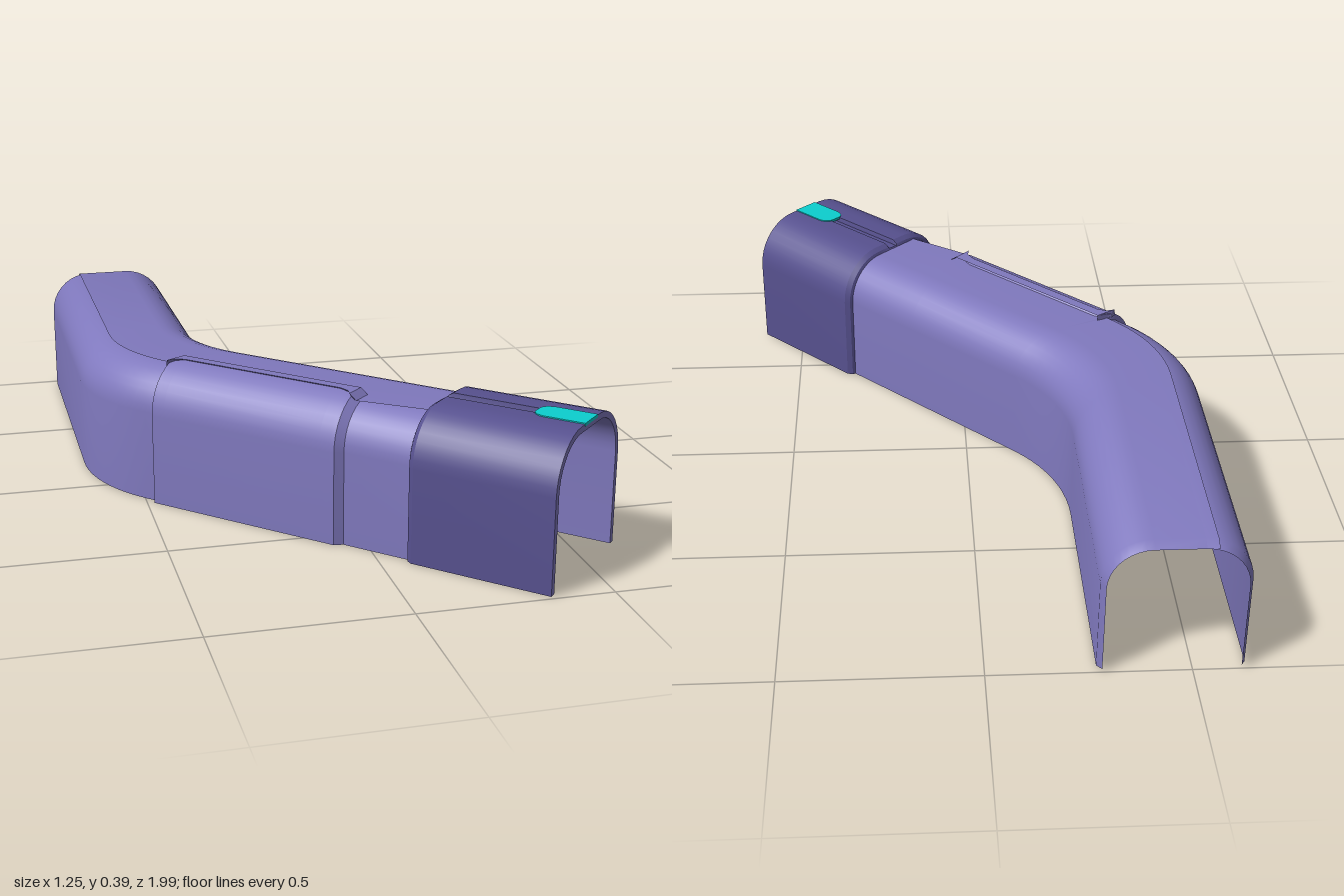
import * as THREE from 'three';
import { toCreasedNormals } from 'three/addons/utils/BufferGeometryUtils.js';

const CORNER = { x: -0.45, z: -0.08 }; // centre-line corner of the bend
const T = 0.19, R = T / Math.tan(Math.PI / 8), H = Math.SQRT1_2;
const RING_START = 0.92, RING_END = 1.315;

// Places a cross-section point on the back leg, the bend or the front leg
const backLeg = z => (u, y) => new THREE.Vector3(CORNER.x + u, y, z);
const bend = a => (u, y) => new THREE.Vector3(
  CORNER.x + u + R - R * Math.cos(a), y,
  CORNER.z - u * Math.tan(Math.PI / 8) - T + R * Math.sin(a));
const frontLeg = s => (u, y) => {
  const t = Math.max(s, T + u * Math.tan(Math.PI / 8));
  return new THREE.Vector3(CORNER.x + H * (t + u), y, CORNER.z + H * (t - u));
};

// Half of the rounded arch, from the floor to the top; o pushes it outward
function halfArch(side, o, floor = 0) {
  const w = 0.18 + o, h = 0.37 + o, r = 0.12 + o, pts = [[side * w, floor]];
  for (let i = 0; i <= 9; i++) {
    const a = (i / 9) * Math.PI / 2;
    pts.push([side * (w - r + r * Math.cos(a)), h - r + r * Math.sin(a)]);
  }
  return pts;
}
const arch = (left, right, middle = [], floor = 0) =>
  [...halfArch(-1, left, floor), ...middle, ...halfArch(1, right, floor).reverse()];

// Skins a list of equal-length rows of points
function loft(rows) {
  const n = rows[0].length, index = [];
  for (let i = 0; i < rows.length - 1; i++)
    for (let j = 0; j < n - 1; j++) {
      const a = i * n + j, b = a + n;
      index.push(a, b, a + 1, b, b + 1, a + 1);
    }
  const g = new THREE.BufferGeometry().setFromPoints(rows.flat());
  g.setIndex(index);
  return toCreasedNormals(g, 0.5);
}
const row = (place, pts) => pts.map(([u, y]) => place(u, y));

export function createModel() {
  const group = new THREE.Group();
  const violet = new THREE.MeshStandardMaterial({ color: 0x8079be, side: THREE.DoubleSide });
  violet.name = 'violet';
  const indigo = new THREE.MeshStandardMaterial({ color: 0x57518f, side: THREE.DoubleSide });
  indigo.name = 'dark indigo';
  const cyan = new THREE.MeshStandardMaterial({ color: 0x0ccfcf });
  cyan.name = 'cyan';
  const add = (name, geometry, material) => {
    const mesh = new THREE.Mesh(geometry, material);
    mesh.name = name;
    group.add(mesh);
    return mesh;
  };

  // Bent shell; o raises the side panel, top is the panel's upper edge
  const shellRow = (place, o = 0, top = -0.09, all = 0, floor = 0) =>
    row(place, arch(o + all, all, [[top, 0.37 + o + all], [top + 0.015, 0.37 + all]], floor));
  const rows = [
    shellRow(backLeg(-1), 0, -0.09, -0.012, 0.01),
    shellRow(backLeg(-0.975)),
  ];
  for (let i = 0; i <= 10; i++) rows.push(shellRow(bend((i / 10) * Math.PI / 4)));
  const panel = [
    [0.148, 0, -0.12], [0.152, 0.016, -0.12], [0.165, 0.016, -0.1], [0.19, 0.016, -0.09],
    [0.67, 0.016, -0.09], [0.7, 0.016, -0.1], [0.715, 0.016, -0.12], [0.735, 0, -0.12],
  ];
  for (const [s, o, top] of panel) rows.push(shellRow(frontLeg(s), o, top));
  rows.push(shellRow(frontLeg(RING_START)), shellRow(frontLeg(RING_END)));
  add('corridorShell', loft(rows), violet);

  // Collar round the front end, with a narrow groove along its top
  const collarRow = (s, o) => row(frontLeg(s), arch(o, o, [
    [-0.017, 0.37 + o], [-0.015, 0.37 + Math.min(o, 0.003)],
    [0.015, 0.37 + Math.min(o, 0.003)], [0.017, 0.37 + o],
  ]));
  add('collar', loft([
    collarRow(RING_START, 0), collarRow(RING_START + 0.004, 0.008),
    collarRow(RING_START + 0.018, 0.017), collarRow(RING_END, 0.017),
  ]), indigo);

  // Front rim closing the gap between collar and shell
  add('collarRim', loft([
    row(frontLeg(RING_END), arch(0.017, 0.017)),
    row(frontLeg(RING_END), arch(0, 0)),
  ]), violet);

  // Coloured marker at the front end of the groove
  const outline = new THREE.Shape();
  outline.moveTo(-0.04, 0);
  outline.lineTo(-0.04, -0.105);
  outline.quadraticCurveTo(-0.038, -0.135, -0.015, -0.14);
  outline.lineTo(0.015, -0.14);
  outline.quadraticCurveTo(0.038, -0.135, 0.04, -0.105);
  outline.lineTo(0.04, 0);
  const plate = new THREE.ExtrudeGeometry(outline, { depth: 0.008, bevelEnabled: false });
  plate.rotateX(-Math.PI / 2);
  plate.rotateY(-Math.PI * 0.75);
  const marker = add('marker', plate, cyan);
  marker.position.copy(frontLeg(RING_END + 0.001)(0, 0.382));

  return group;
}
